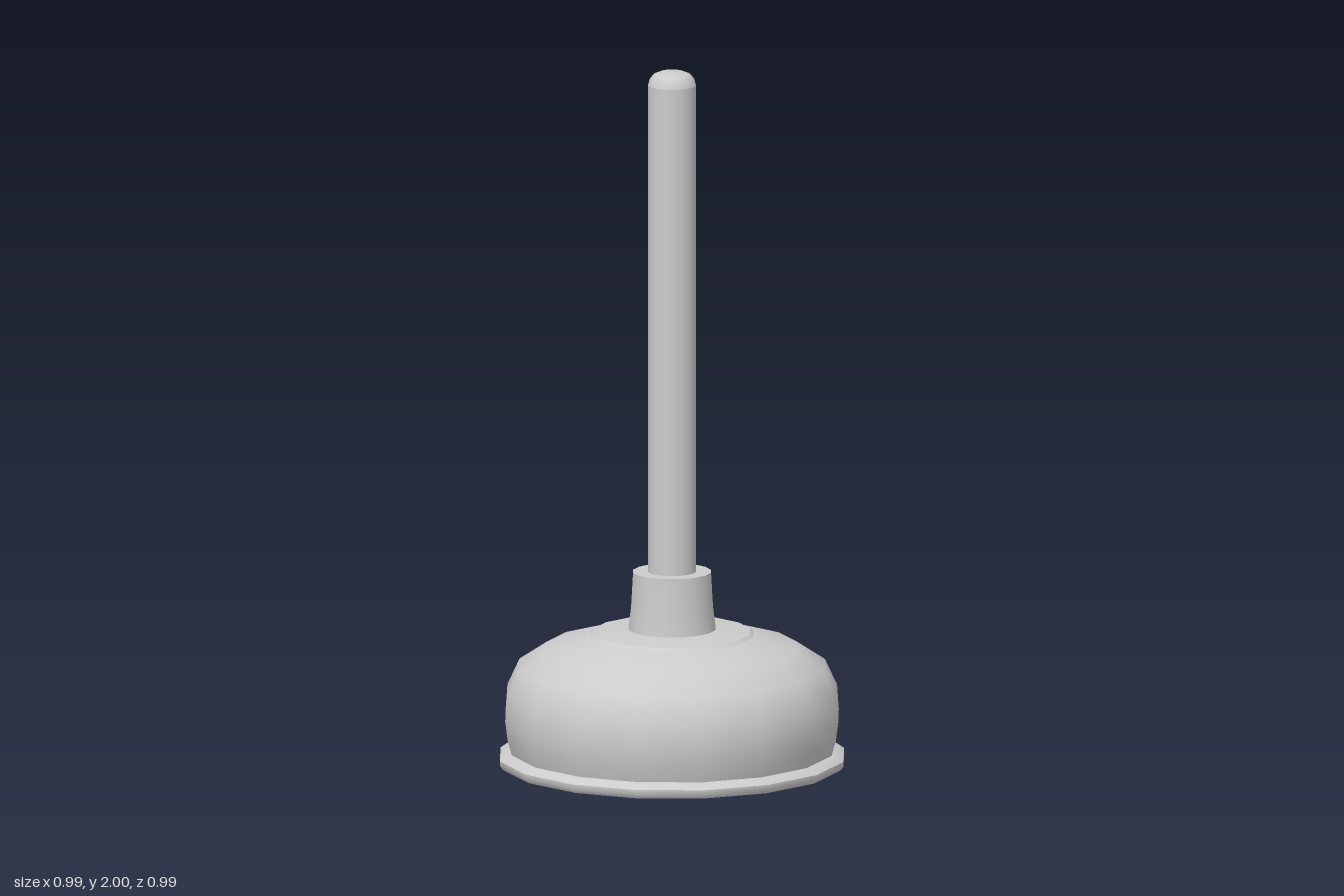
import * as THREE from 'three';

const material = new THREE.MeshStandardMaterial({ color: 0xcccccc });

// Revolves each profile separately, so edges between profiles stay sharp.
// Profiles run upward on outer walls and downward on inner walls.
function revolve(name, sides, ...profiles) {
  const part = new THREE.Group();
  part.name = name;
  profiles.forEach((profile, i) => {
    const points = profile.map(([r, y]) => new THREE.Vector2(r, y));
    const mesh = new THREE.Mesh(new THREE.LatheGeometry(points, sides), material);
    mesh.name = `${name}Surface${i + 1}`;
    part.add(mesh);
  });
  return part;
}

export function createModel() {
  const model = new THREE.Group();
  model.name = 'plunger';

  // Hollow rubber cup: outer dome, raised top disc, inner dome
  model.add(revolve('cup', 16,
    [[0.46, 0.04], [0.473, 0.085], [0.48, 0.14], [0.475, 0.21], [0.44, 0.285], [0.36, 0.338], [0.235, 0.374]],
    [[0.235, 0.374], [0.225, 0.382]],
    [[0.225, 0.382], [0.11, 0.392]],
    [[0, 0.36], [0.2, 0.352], [0.34, 0.31], [0.415, 0.265], [0.45, 0.2], [0.453, 0.13], [0.435, 0.04]],
  ));

  // Flared lip around the cup's mouth
  model.add(revolve('rim', 16,
    [[0.435, 0.04], [0.43, 0.008]],
    [[0.43, 0.008], [0.44, 0], [0.485, 0]],
    [[0.485, 0], [0.495, 0.012], [0.495, 0.026]],
    [[0.495, 0.026], [0.475, 0.04], [0.46, 0.042]],
  ));

  // Tapered collar holding the handle
  model.add(revolve('collar', 16,
    [[0.126, 0.388], [0.118, 0.45], [0.112, 0.556]],
    [[0.112, 0.556], [0.06, 0.556]],
  ));

  // Handle with a rounded tip
  model.add(revolve('handle', 32,
    [[0.068, 0.37], [0.068, 1.96]],
    [[0.068, 1.96], [0.063, 1.978], [0.052, 1.991], [0.035, 1.998], [0, 2]],
  ));

  return model;
}
